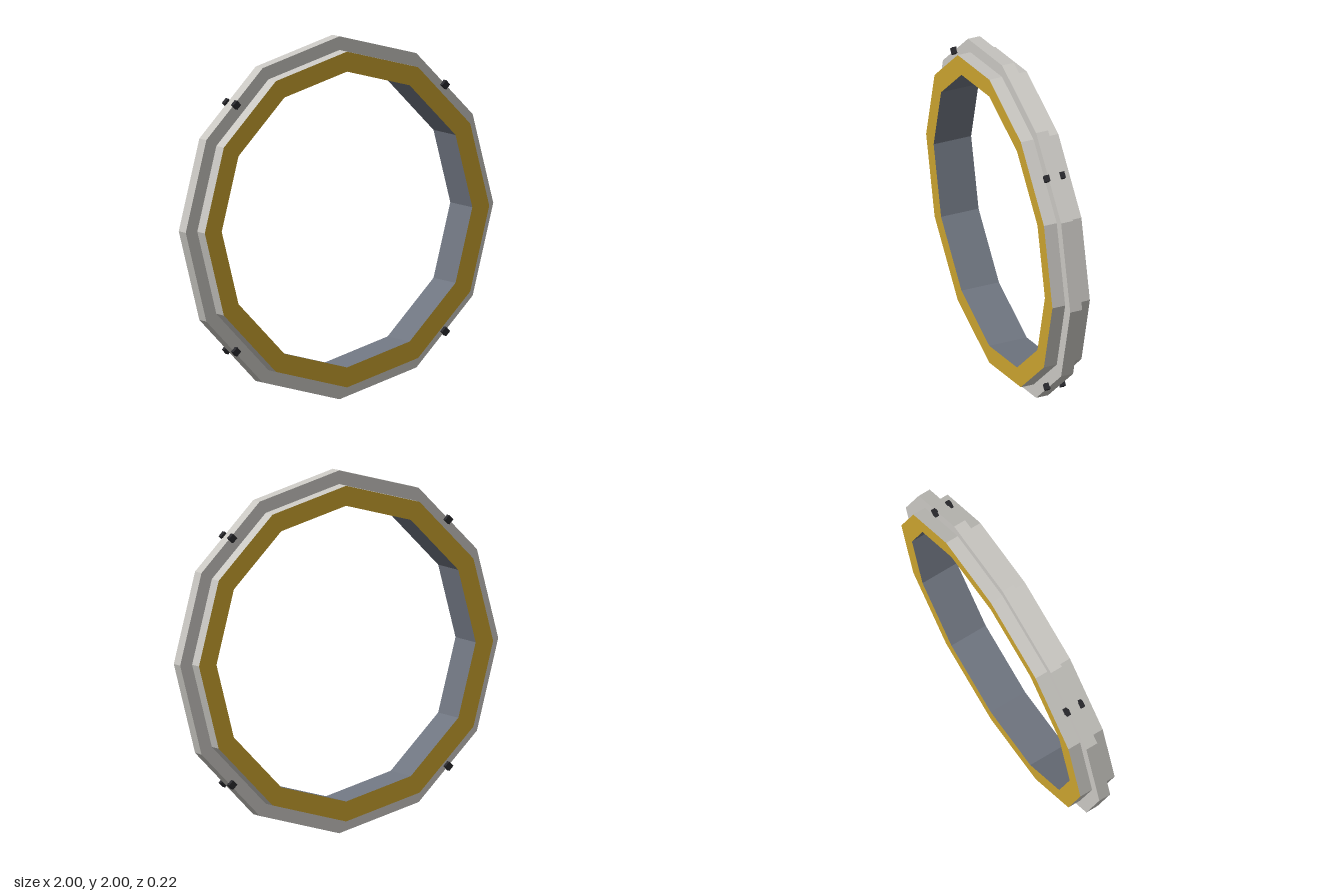
import * as THREE from 'three';

const SIDES = 12;
const BODY_R = 0.925, INNER_R = 0.815, FLANGE_R = 1;
const BODY_Z = 0.11, FLANGE_Z = 0.035;

function material(name, color) {
  const m = new THREE.MeshStandardMaterial({ color, flatShading: true });
  m.name = name;
  return m;
}

// Twelve-sided band swept around the z axis from [radius, z] pairs
function band(name, profile, mat) {
  const points = profile.map(([r, z]) => new THREE.Vector2(r, z));
  const geometry = new THREE.LatheGeometry(points, SIDES).rotateX(Math.PI / 2);
  const mesh = new THREE.Mesh(geometry, mat);
  mesh.name = name;
  return mesh;
}

export function createModel() {
  const shell = material('light grey', 0xc9c7c2);
  const gold = material('gold', 0xc9a22e);
  const slate = material('slate', 0x6f7580);
  const dark = material('near black', 0x2a2a2e);

  const model = new THREE.Group();
  model.name = 'ring';

  const ring = new THREE.Group();
  ring.name = 'ringBody';
  ring.position.y = 1;
  model.add(ring);

  // Outer shell with the raised flange around its middle
  ring.add(band('outerShell', [
    [BODY_R, -BODY_Z], [BODY_R, -FLANGE_Z], [FLANGE_R, -FLANGE_Z],
    [FLANGE_R, FLANGE_Z], [BODY_R, FLANGE_Z], [BODY_R, BODY_Z],
  ], shell));

  // Gold end faces and the inner wall
  ring.add(band('frontFace', [[BODY_R, BODY_Z], [INNER_R, BODY_Z]], gold));
  ring.add(band('backFace', [[INNER_R, -BODY_Z], [BODY_R, -BODY_Z]], gold));
  ring.add(band('innerWall', [[INNER_R, BODY_Z], [INNER_R, -BODY_Z]], slate));

  // Four square studs on each side of the flange
  const studGeometry = new THREE.BoxGeometry(0.036, 0.036, 0.026);
  for (const side of [1, -1]) {
    for (let i = 0; i < 4; i++) {
      const angle = Math.PI / 4 + i * Math.PI / 2;
      const stud = new THREE.Mesh(studGeometry, dark);
      stud.name = side > 0 ? 'frontStud' : 'backStud';
      stud.position.set(0.961 * Math.cos(angle), 0.961 * Math.sin(angle), side * 0.045);
      stud.rotation.z = angle;
      ring.add(stud);
    }
  }
  return model;
}
